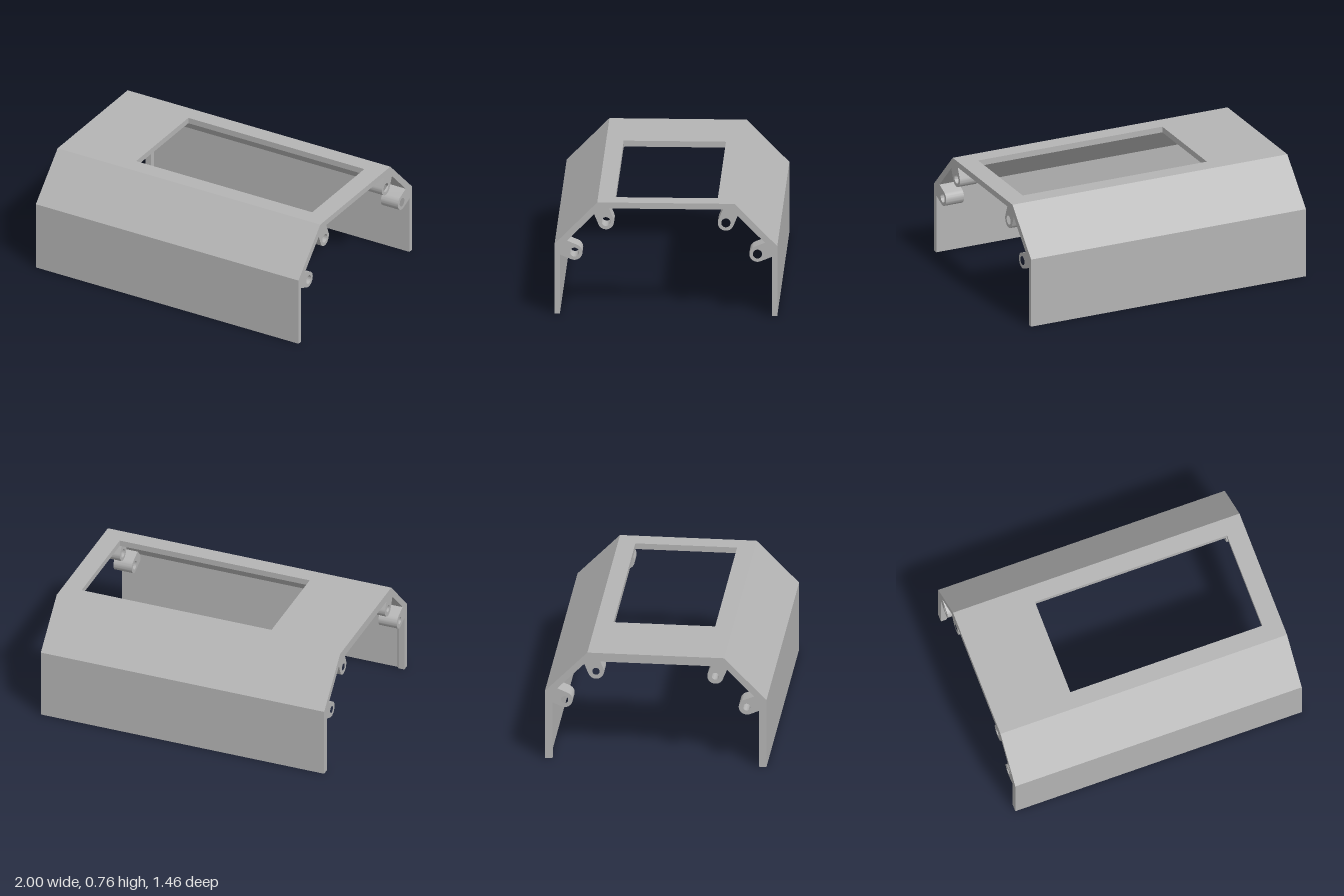
import * as THREE from 'three';
import { toCreasedNormals } from 'three/addons/utils/BufferGeometryUtils.js';

const shell = new THREE.MeshStandardMaterial({ color: 0xb4b4b4 });
shell.name = 'shell grey';

const polygon = (pts) => new THREE.Shape(pts.map(([a, b]) => new THREE.Vector2(a, b)));

// Extrude a (z, y) section along x, from xMax down to xMax - length
function alongX(shape, xMax, length) {
  const g = new THREE.ExtrudeGeometry(shape, { depth: length, bevelEnabled: false, curveSegments: 28 });
  g.rotateY(-Math.PI / 2).translate(xMax, 0, 0);
  return toCreasedNormals(g, 0.5);
}

// Extrude an (x, z) section upwards from y = 0
function alongY(pts, height) {
  const g = new THREE.ExtrudeGeometry(polygon(pts.map(([x, z]) => [x, -z])), { depth: height, bevelEnabled: false });
  return g.rotateX(-Math.PI / 2);
}

// Rounded screw lug with a hole, reaching out at an angle into the shell
function lugShape(z, y, angle, side, hole) {
  const r = 0.053, reach = 0.1;
  const dz = Math.cos(angle), dy = Math.sin(angle);
  const pts = [];
  for (let i = 0; i <= 24; i++) {
    const a = angle + Math.PI / 2 + (i / 24) * Math.PI;
    pts.push([side * (z + r * Math.cos(a)), y + r * Math.sin(a)]);
  }
  pts.push([side * (z + reach * dz + r * dy), y + reach * dy - r * dz]);
  pts.push([side * (z + reach * dz - r * dy), y + reach * dy + r * dz]);
  const shape = polygon(pts);
  const path = new THREE.Path();
  path.absarc(side * z, y, hole, 0, Math.PI * 2, true);
  shape.holes.push(path);
  return shape;
}

export function createModel() {
  const model = new THREE.Group();
  model.name = 'enclosureCover';
  const add = (name, geometry) => {
    const mesh = new THREE.Mesh(geometry, shell);
    mesh.name = name;
    model.add(mesh);
  };

  // Flat roof with the rectangular window
  const roof = polygon([[-1, -0.45], [1, -0.45], [1, 0.45], [-1, 0.45]]);
  roof.holes.push(new THREE.Path([[-0.47, -0.335], [-0.47, 0.335], [0.87, 0.335], [0.87, -0.335]]
    .map(([x, z]) => new THREE.Vector2(x, z))));
  const roofGeometry = new THREE.ExtrudeGeometry(roof, { depth: 0.04, bevelEnabled: false });
  add('roof', roofGeometry.rotateX(-Math.PI / 2).translate(0, 0.72, 0));

  // Chamfered lip under the roof at the right-hand end
  add('roofLip', (() => {
    const g = new THREE.ExtrudeGeometry(
      polygon([[-1, 0.725], [-1, 0.7], [-0.96, 0.7], [-0.94, 0.72], [-0.94, 0.725]]),
      { depth: 0.86, bevelEnabled: false });
    return g.translate(0, 0, -0.43);
  })());

  for (const side of [1, -1]) {
    const label = side > 0 ? 'front' : 'back';

    // Upright wall and sloping shoulder
    const section = [[0.73, 0], [0.73, 0.475], [0.45, 0.76], [0.43, 0.72], [0.695, 0.45], [0.695, 0]];
    add(label + 'Wall', alongX(polygon(section.map(([z, y]) => [side * z, y])), 1, 2));

    // Chamfered lip inside the wall
    const lip = [[-1, 0.7], [-1, 0.68], [-0.96, 0.68], [-0.945, 0.695], [-0.945, 0.7]];
    add(label + 'WallLip', alongY(lip.map(([x, z]) => [x, side * z]), 0.43));

    // Screw lugs at both ends
    for (const [xMax, hole, end] of [[1, 0.03, 'Left'], [-0.87, 0.024, 'Right']]) {
      add(label + 'LowerLug' + end, alongX(lugShape(0.6, 0.42, Math.PI / 8, side, hole), xMax, 0.13));
      add(label + 'UpperLug' + end, alongX(lugShape(0.393, 0.63, Math.PI * 3 / 8, side, hole), xMax, 0.13));
    }
  }
  return model;
}
